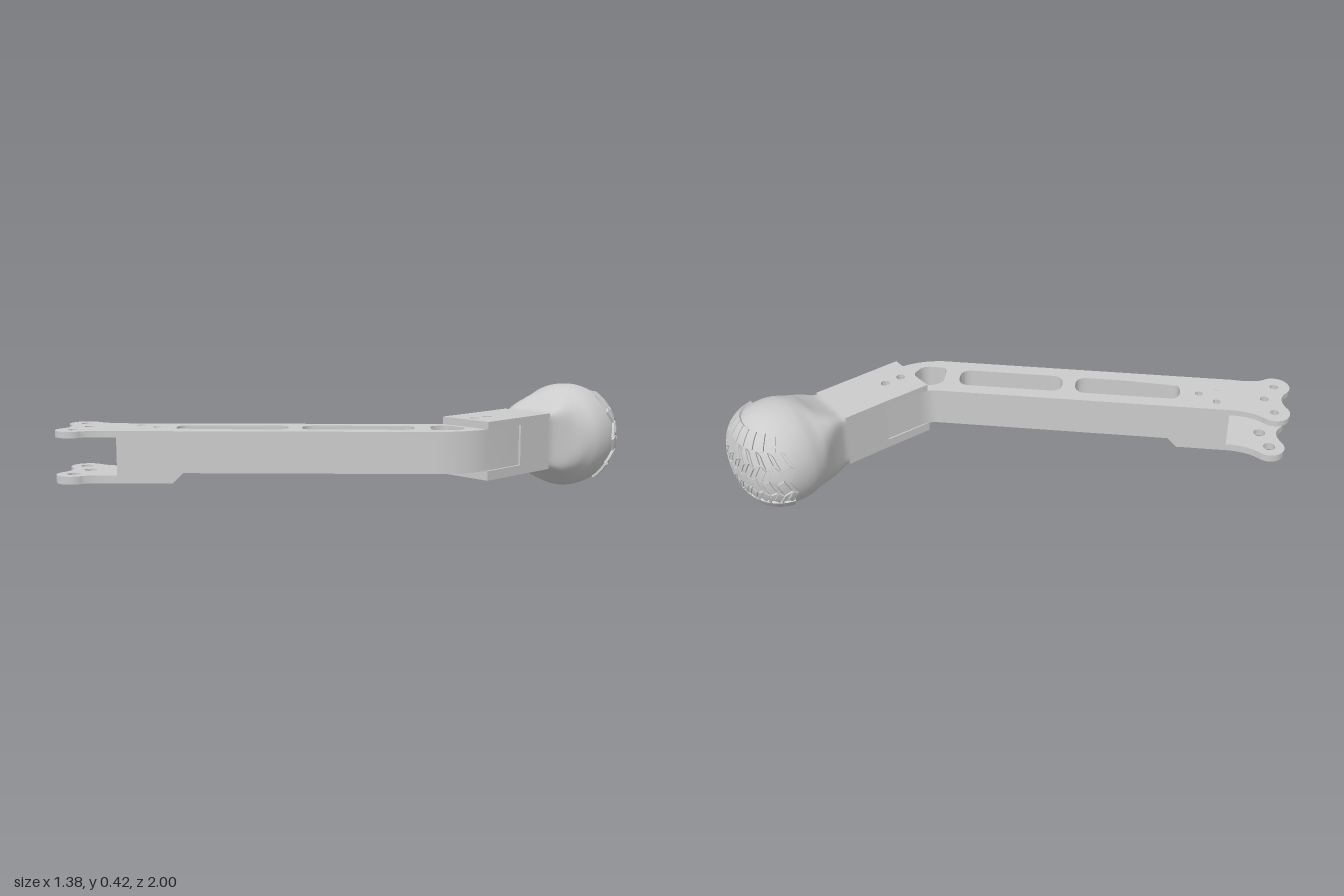
import * as THREE from 'three';
import { mergeVertices, mergeGeometries, toCreasedNormals } from 'three/addons/utils/BufferGeometryUtils.js';

const material = new THREE.MeshStandardMaterial({ color: 0xcccccc });
const BALL = new THREE.Vector3(0.47, 0.2115, -0.8);
const RADIUS = 0.2115, DEPTH = 0.19;

function part(name, geometry, parent) {
  const mesh = new THREE.Mesh(geometry, material);
  mesh.name = name;
  parent.add(mesh);
  return mesh;
}

// Extrude an outline drawn in (x, z) between two heights
function slab(shape, y0, y1) {
  const g = new THREE.ExtrudeGeometry(shape, { depth: y1 - y0, bevelEnabled: false, curveSegments: 20 });
  g.rotateX(Math.PI / 2).translate(0, y1, 0);
  return g;
}

// Point in the diagonal arm's frame: u along the arm, v across it
const diag = (u, v) => [(u + v) * Math.SQRT1_2, (v - u) * Math.SQRT1_2];

// Closed polygon with softened corners
function roundedPath(points, r) {
  const path = new THREE.Path();
  const v = points.map(([x, z]) => new THREE.Vector2(x, z));
  v.forEach((p, i) => {
    const prev = v[(i + v.length - 1) % v.length], next = v[(i + 1) % v.length];
    const a = prev.clone().sub(p).setLength(r).add(p);
    const b = next.clone().sub(p).setLength(r).add(p);
    if (i === 0) path.moveTo(a.x, a.y); else path.lineTo(a.x, a.y);
    path.quadraticCurveTo(p.x, p.y, b.x, b.y);
  });
  path.closePath();
  return path;
}

function drill(shape, centres, r) {
  for (const [x, z] of centres) shape.holes.push(new THREE.Path().absarc(x, z, r, 0, Math.PI * 2));
}

const LOBE_HOLES = [[-0.63, 0.8], [-0.54, 0.84], [-0.505, 0.935]];
const PAD_HOLES = [[-0.435, 0.675], [-0.35, 0.66], [-0.37, 0.745]];
const SOCKET_HOLES = [[0.462, -0.32], [0.462, -0.245]];

// Two-lobed fork plate beyond the end of the arm
function forkPlate(y0, y1, holeRadius) {
  const s = new THREE.Shape();
  s.moveTo(-0.51, 0.673);
  s.quadraticCurveTo(-0.57, 0.733, -0.63, 0.738);
  s.absarc(-0.63, 0.8, 0.061, -Math.PI / 2, -Math.PI * 1.42, true);
  s.quadraticCurveTo(-0.575, 0.875, -0.567, 0.937);
  s.absarc(-0.505, 0.937, 0.062, Math.PI, 0, true);
  s.quadraticCurveTo(-0.425, 0.89, -0.36, 0.838);
  s.closePath();
  drill(s, LOBE_HOLES, holeRadius);
  return toCreasedNormals(slab(s, y0, y1), 0.6);
}

function armBody() {
  const s = new THREE.Shape();
  s.moveTo(-0.51, 0.673);
  s.lineTo(0.325, -0.162);
  s.quadraticCurveTo(0.35, -0.185, 0.352, -0.23);
  s.lineTo(0.356, -0.39);
  s.lineTo(0.565, -0.39);
  s.lineTo(0.565, -0.19);
  s.quadraticCurveTo(0.556, -0.085, 0.485, -0.007);
  s.lineTo(-0.36, 0.838);
  s.closePath();
  // lightening slots and elbow window
  for (const u of [0.054, -0.425]) {
    const L = 0.213, w = 0.055;
    s.holes.push(roundedPath([diag(u - L, 0.225 - w), diag(u + L, 0.225 - w),
      diag(u + L, 0.225 + w), diag(u - L, 0.225 + w)], 0.05));
  }
  s.holes.push(roundedPath([[0.375, -0.172], [0.485, -0.172], [0.508, -0.1], [0.437, -0.03], [0.357, -0.105]], 0.03));
  drill(s, PAD_HOLES, 0.015);
  drill(s, SOCKET_HOLES, 0.018);
  return toCreasedNormals(slab(s, 0.14, 0.298), 0.6);
}

// Thickened underside with a sloping inner end
function lowerPad() {
  const s = new THREE.Shape();
  const end = -0.6;
  [[-0.51, 0.673], diag(end, 0.1153), diag(end, 0.338), [-0.36, 0.838]]
    .forEach(([x, z], i) => (i ? s.lineTo(x, z) : s.moveTo(x, z)));
  s.closePath();
  drill(s, PAD_HOLES, 0.026);
  const g = slab(s, 0.1, 0.14), p = g.attributes.position;
  for (let i = 0; i < p.count; i++) {
    const u = (p.getX(i) - p.getZ(i)) * Math.SQRT1_2;
    if (p.getY(i) < 0.12 && u > end - 0.01) {
      p.setX(i, p.getX(i) - 0.028);
      p.setZ(i, p.getZ(i) + 0.028);
    }
  }
  return toCreasedNormals(g, 0.6);
}

function socketPlate(y0, y1) {
  const s = new THREE.Shape();
  s.moveTo(0.346, -0.193);
  s.lineTo(0.574, -0.193);
  s.lineTo(0.574, -0.39);
  s.lineTo(0.35, -0.39);
  s.closePath();
  drill(s, SOCKET_HOLES, 0.018);
  return toCreasedNormals(slab(s, y0, y1), 0.6);
}

// Distance from the ball centre to its rear surface, t measured from the rear axis
function rearRadius(t) {
  const n = 2.5;
  return Math.pow(Math.pow(Math.abs(Math.sin(t)) / RADIUS, n) + Math.pow(Math.abs(Math.cos(t)) / DEPTH, n), -1 / n);
}

// Ball whose front flows from a square neck into a round section
function ballBody() {
  const front = [[0.112, 0.57], [0.118, 0.6], [0.15, 0.66], [0.185, 0.71], [0.206, 0.76], [RADIUS, 0.8]];
  const profile = new THREE.SplineCurve(front.map(([r, d]) => new THREE.Vector2(r, d))).getPoints(24);
  for (let i = 1; i <= 24; i++) {
    const t = (1 - i / 24) * Math.PI / 2, r = rearRadius(t);
    profile.push(new THREE.Vector2(r * Math.sin(t), 0.8 + r * Math.cos(t)));
  }
  let g = new THREE.LatheGeometry(profile, 64);
  g.deleteAttribute('uv');
  g.deleteAttribute('normal');
  g.rotateX(-Math.PI / 2);
  const p = g.attributes.position;
  for (let i = 0; i < p.count; i++) {
    const x = p.getX(i), y = p.getY(i), z = p.getZ(i), r = Math.hypot(x, y);
    const k = 1 - THREE.MathUtils.clamp((-z - 0.57) / 0.18, 0, 1);
    const n = 2 + 18 * k ** 3;
    const f = r > 1e-6 ? Math.pow(Math.abs(x / r) ** n + Math.abs(y / r) ** n, -1 / n) : 1;
    p.setXYZ(i, x * f + BALL.x - 0.008 * k, y * f + BALL.y + 0.0035 * k, z);
  }
  g = mergeVertices(g, 1e-5);
  g.computeVertexNormals();
  return g;
}

// Raised tread block; corners are (yaw, pitch) in degrees
function treadBlock(c00, c10, c11, c01) {
  const g = new THREE.BoxGeometry(1, 1, 1, 3, 3, 1), p = g.attributes.position;
  const mix = THREE.MathUtils.lerp, rad = Math.PI / 180;
  for (let i = 0; i < p.count; i++) {
    const s = p.getX(i) + 0.5, t = p.getY(i) + 0.5;
    const [yaw, pitch] = [0, 1].map((k) => mix(mix(c00[k], c10[k], s), mix(c01[k], c11[k], s), t) * rad);
    const d = new THREE.Vector3(-Math.sin(yaw) * Math.cos(pitch), Math.sin(pitch), -Math.cos(yaw) * Math.cos(pitch));
    const r = rearRadius(Math.acos(THREE.MathUtils.clamp(-d.z, -1, 1))) + (p.getZ(i) > 0 ? 0.01 : -0.006);
    d.multiplyScalar(r).add(BALL);
    p.setXYZ(i, d.x, d.y, d.z);
  }
  return toCreasedNormals(g, 0.6);
}

function tread() {
  const blocks = [], columns = 10, step = 14.6, gap = 1.5, slant = 6;
  for (let c = 0; c < columns; c++) {
    const a = (c - columns / 2) * step + gap / 2, b = a + step - gap;
    // zigzag rows across the middle
    for (let row = 0; row < 4; row++) {
      const lo = -30 + row * 15 + gap / 2, hi = lo + 15 - gap;
      const s0 = row % 2 ? slant : 0, s1 = slant - s0, m = (a + b) / 2, o = -slant / 2;
      blocks.push(treadBlock([a + s0 + o, lo], [m + s0 + o, lo + 4], [m + s1 + o, hi + 3], [a + s1 + o, hi - 1]));
      blocks.push(treadBlock([m + s0 + o + gap, lo + 4], [b + s0 + o, lo], [b + s1 + o, hi - 1], [m + s1 + o + gap, hi + 3]));
    }
    // shoulder lugs
    blocks.push(treadBlock([a, 33], [b, 33], [b, 51], [a, 51]));
    blocks.push(treadBlock([a, -51], [b, -51], [b, -31], [a, -31]));
  }
  return mergeGeometries(blocks);
}

export function createModel() {
  const model = new THREE.Group();
  model.name = 'forkedArmWithBall';

  const arm = new THREE.Group();
  arm.name = 'arm';
  model.add(arm);
  part('armBody', armBody(), arm);
  part('lowerPad', lowerPad(), arm);
  part('upperForkPlate', forkPlate(0.274, 0.298, 0.017), arm);
  part('lowerForkPlate', forkPlate(0.1, 0.13, 0.024), arm);

  const socket = new THREE.Group();
  socket.name = 'socket';
  model.add(socket);
  part('upperSocketPlate', socketPlate(0.298, 0.327), socket);
  part('lowerSocketPlate', socketPlate(0.103, 0.14), socket);
  part('socketBlock', new THREE.BoxGeometry(0.224, 0.224, 0.185), socket).position.set(0.462, 0.215, -0.4825);

  part('ball', ballBody(), model);
  part('tread', tread(), model);
  return model;
}
